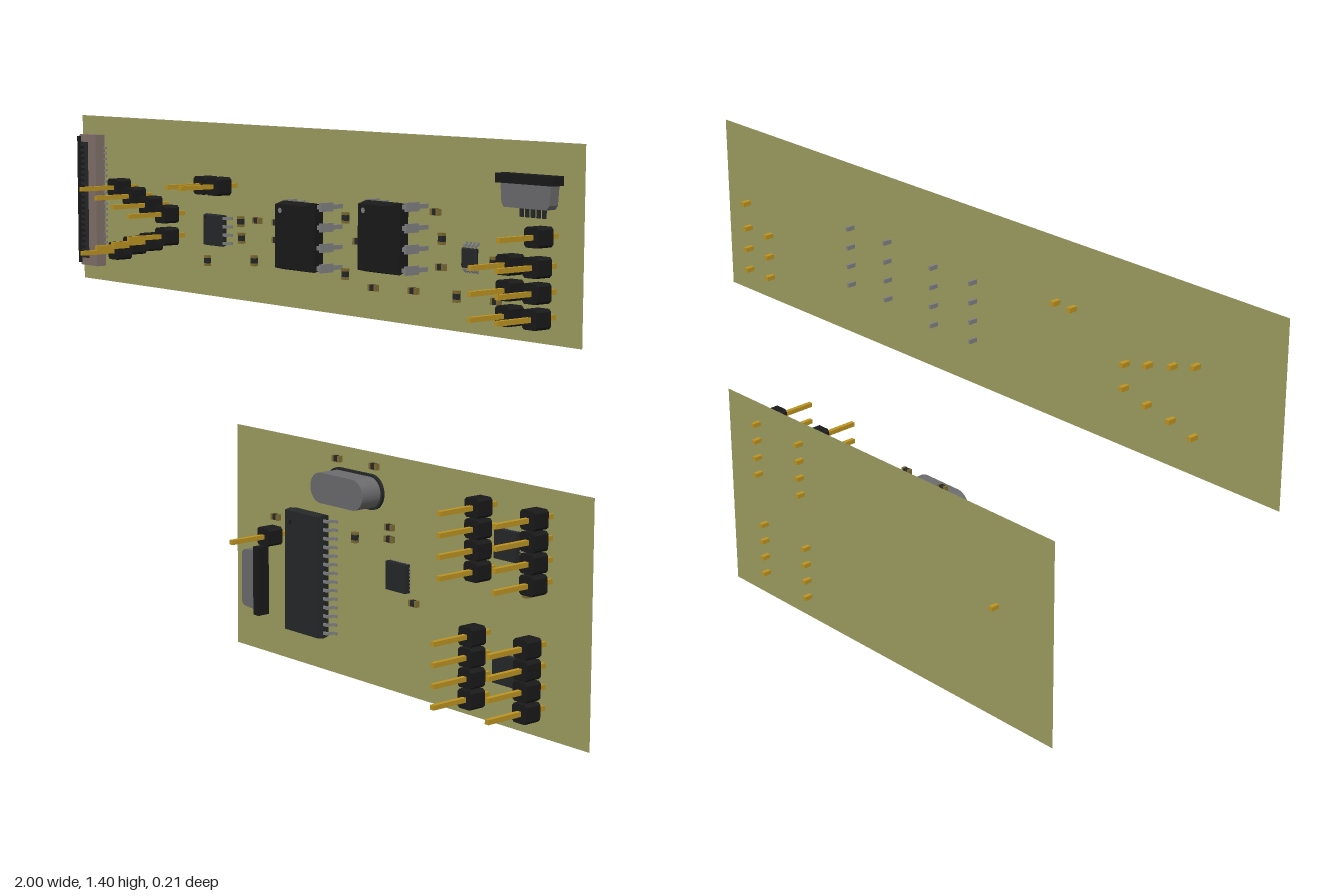
import * as THREE from 'three';

const BOARD_Z = -0.081; // board sheet
const PART_Z = -0.05; // level the parts sit on
const mat = (color, extra = {}) => {
  const m = new THREE.MeshStandardMaterial(extra);
  m.color.set(color);
  return m;
};

export function createModel() {
  const model = new THREE.Group();
  const olive = mat(0x9e9e62, { side: THREE.DoubleSide });
  const black = mat(0x1a1a1a), dark = mat(0x262728), gold = mat(0xbd9422), brass = mat(0x7d6c34);
  const steel = mat(0x6c6c6e), silver = mat(0x808080), tan = mat(0x80706a);

  const group = (name, x, y, turn = 0) => {
    const g = new THREE.Group();
    g.name = name;
    g.position.set(x, y, PART_Z);
    g.rotation.z = turn;
    model.add(g);
    return g;
  };
  const add = (parent, name, geo, material, x = 0, y = 0, z = 0) => {
    const m = new THREE.Mesh(geo, material);
    m.name = name;
    m.position.set(x, y, z);
    parent.add(m);
    return m;
  };
  // Box given by its size and the height range above the part level
  const slab = (parent, name, material, w, h, z0, z1, x = 0, y = 0) =>
    add(parent, name, new THREE.BoxGeometry(w, h, z1 - z0), material, x, y, (z0 + z1) / 2);
  const extrude = (points, depth) => new THREE.ExtrudeGeometry(
    new THREE.Shape(points.map(([a, b]) => new THREE.Vector2(a, b))), { depth, bevelEnabled: false });
  // Moulded chip body, widest at its middle
  const mouldedBody = (w, h, d, draft) => {
    const g = new THREE.BoxGeometry(w, h, d, 1, 1, 2).toNonIndexed();
    const p = g.attributes.position;
    for (let i = 0; i < p.count; i++) {
      if (Math.abs(p.getZ(i)) < d / 4) continue;
      p.setX(i, p.getX(i) - Math.sign(p.getX(i)) * draft);
      p.setY(i, p.getY(i) - Math.sign(p.getY(i)) * draft);
    }
    g.computeVertexNormals();
    return g;
  };
  // Bent lead from an (outward, height) profile
  const leadGeo = (profile, width) =>
    extrude(profile, width).rotateX(Math.PI / 2).translate(0, width / 2, 0);
  // Two mirrored rows of leads
  const leadRows = (parent, geo, count, pitch) => {
    for (const turn of [0, Math.PI])
      for (let i = 0; i < count; i++)
        add(parent, 'lead', geo, silver, 0, (i - (count - 1) / 2) * pitch).rotation.z = turn;
  };

  // Boards: thin sheets behind the parts
  const board = (name, x0, x1, y0, y1) =>
    add(model, name, new THREE.PlaneGeometry(x1 - x0, y1 - y0), olive, (x0 + x1) / 2, (y0 + y1) / 2, BOARD_Z);
  board('upperBoard', -1, 0.952, 0.935, 1.398);
  board('lowerBoard', -0.3, 1, 0, 0.6);

  // Header pins: chamfered block with a square gold post
  const a = 0.0235, c = 0.0175;
  const blockGeo = extrude([[a, -c], [a, c], [c, a], [-c, a], [-a, c], [-a, -c], [-c, -a], [c, -a]], 0.046);
  const postGeo = new THREE.BoxGeometry(0.012, 0.012, 0.21);
  const pins = [
    [-0.747, 1.21], [-0.678, 1.19], [-0.603, 1.17], [-0.53, 1.15],
    [-0.747, 1.035], [-0.678, 1.055], [-0.603, 1.07], [-0.53, 1.09],
    [-0.358, 1.237], [-0.303, 1.237], [0.865, 1.187], [-0.094, 0.337],
  ];
  for (const x of [0.775, 0.862]) for (const y of [1.118, 1.059, 1.0]) pins.push([x, y]);
  for (let i = 0; i < 4; i++) {
    const d = i * 0.0515;
    pins.push([0.682, 0.537 - d], [0.866, 0.537 - d], [0.666, 0.222 - d], [0.85, 0.229 - d]);
  }
  for (const [x, y] of pins) {
    const g = group('headerPin', x, y);
    add(g, 'pinBlock', blockGeo, black, 0, 0, 0.003);
    add(g, 'pinPost', postGeo, gold, 0, 0, -PART_Z);
  }

  // Through-hole chips
  const dipLead = leadGeo([[0.05, 0.042], [0.074, 0.042], [0.074, -0.055], [0.068, -0.055], [0.068, 0.034], [0.05, 0.034]], 0.011);
  const dipShoulder = new THREE.BoxGeometry(0.007, 0.022, 0.042);
  for (const [x, y] of [[0.052, 1.132], [0.366, 1.152]]) {
    const g = group('throughHoleChip', x, y);
    add(g, 'chipBody', mouldedBody(0.122, 0.174, 0.066, 0.007), black, 0, 0, 0.05);
    leadRows(g, dipLead, 4, 0.051);
    for (const s of [-1, 1]) for (let i = 0; i < 4; i++)
      add(g, 'leadShoulder', dipShoulder, silver, s * 0.071, (i - 1.5) * 0.051, 0.021);
    add(g, 'pinOneMark', new THREE.CircleGeometry(0.007, 12), silver, -0.035, 0.065, 0.0835);
  }

  // Surface-mount chips with gull-wing leads
  const gullChip = (name, x, y, w, h, top, span, count, pitch, width, turn = 0) => {
    const g = group(name, x, y, turn);
    add(g, 'chipBody', mouldedBody(w, h, top - 0.004, 0.003), dark, 0, 0, (top + 0.004) / 2);
    const i = w / 2 - 0.004, o = span / 2, k = (w / 2 + o) / 2, m = top / 2, t = 0.004;
    leadRows(g, leadGeo([[i, m], [k - t, m], [k, 0.001], [o, 0.001], [o, 0.001 + t],
      [k + t, 0.001 + t], [k, m + t], [i, m + t]], width), count, pitch);
    add(g, 'pinOneMark', new THREE.CircleGeometry(w * 0.05, 10), black, -w * 0.33, h * 0.4, top + 0.0005);
  };
  gullChip('smallChip', -0.332, 1.12, 0.072, 0.084, 0.03, 0.112, 4, 0.022, 0.008);
  gullChip('microcontroller', 0.052, 0.264, 0.134, 0.322, 0.042, 0.192, 14, 0.0225, 0.008);
  gullChip('tinyChip', 0.627, 1.12, 0.048, 0.048, 0.018, 0.074, 4, 0.0125, 0.005, Math.PI / 2);

  // Flat leadless chips with edge pads
  for (const [x, y] of [[0.384, 0.311], [0.763, 0.456], [0.763, 0.154]]) {
    const g = group('flatChip', x, y);
    slab(g, 'chipBody', dark, 0.072, 0.072, 0.001, 0.018);
    for (let q = 0; q < 4; q++) {
      const side = new THREE.Group();
      side.name = 'padRow';
      side.rotation.z = q * Math.PI / 2;
      g.add(side);
      for (let i = -3; i <= 3; i++) slab(side, 'pad', silver, 0.002, 0.004, 0.001, 0.005, 0.0365, i * 0.009);
    }
  }

  // Crystal can with a thin flange
  const stadium = (w, h, depth) => {
    const r = h / 2, l = w / 2 - r, s = new THREE.Shape();
    s.absarc(l, 0, r, -Math.PI / 2, Math.PI / 2).absarc(-l, 0, r, Math.PI / 2, Math.PI * 1.5);
    return new THREE.ExtrudeGeometry(s, { depth, bevelEnabled: false, curveSegments: 16 });
  };
  const crystal = group('crystal', 0.219, 0.508);
  add(crystal, 'crystalFlange', stadium(0.21, 0.09, 0.008), dark, 0, 0, 0.001);
  add(crystal, 'crystalCan', stadium(0.198, 0.078, 0.06), steel, 0, 0, 0.009);

  // Flat-cable connector with a contact row
  const cable = group('flatCableConnector', -0.896, 1.166);
  slab(cable, 'housing', tan, 0.07, 0.366, 0.002, 0.033, 0.013);
  slab(cable, 'latchBar', black, 0.018, 0.355, 0.006, 0.03, -0.036);
  slab(cable, 'slotFace', dark, 0.034, 0.325, 0.02, 0.034, -0.006);
  for (const s of [-1, 1]) slab(cable, 'latchEnd', tan, 0.016, 0.02, 0.002, 0.028, -0.026, s * 0.173);
  for (let i = 0; i < 20; i++) {
    const y = (i - 9.5) * 0.0155;
    slab(cable, 'contact', silver, 0.012, 0.006, 0.001, 0.006, 0.052, y);
    slab(cable, 'slotTooth', black, 0.02, 0.007, 0.02, 0.0355, -0.016, y);
  }

  // Socket connectors: dark flange, tapered metal shell, rear contacts
  for (const [x, y, turn] of [[0.824, 1.285, 0], [-0.17, 0.208, -Math.PI / 2]]) {
    const g = group('socket', x, y, turn);
    slab(g, 'socketFlange', black, 0.184, 0.022, 0.001, 0.036, 0, 0.03);
    add(g, 'socketShell', extrude([[-0.08, 0.02], [-0.076, -0.026], [-0.068, -0.036],
      [0.068, -0.036], [0.076, -0.026], [0.08, 0.02]], 0.028), steel, 0, 0, 0.002);
    for (let i = -2; i <= 2; i++) slab(g, 'contact', dark, 0.009, 0.024, 0.001, 0.007, i * 0.018, -0.046);
  }

  // Small passive parts: dark middle with metal ends; last entry 1 = upright
  const passives = [
    [-0.377, 1.035, 1], [-0.235, 1.148, 1], [-0.232, 1.105, 1], [-0.167, 1.155, 0], [-0.18, 1.05, 1],
    [-0.088, 1.155, 0], [-0.088, 1.11, 0], [0.18, 1.185, 1], [0.18, 1.045, 1], [0.227, 1.13, 0],
    [0.285, 1.02, 0], [0.286, 1.085, 0], [0.505, 1.22, 0], [0.527, 1.158, 1], [0.43, 1.025, 0],
    [0.525, 1.09, 0], [0.58, 1.025, 1], [0.703, 1.115, 1], [0.712, 1.025, 0], [0.152, 0.575, 0],
    [0.291, 0.575, 0], [0.35, 0.43, 0], [0.35, 0.4, 0], [0.221, 0.383, 1], [0.441, 0.254, 0],
    [-0.092, 0.385, 0], [0.812, 0.062, 1], [0.826, 0.355, 1],
  ];
  for (const [x, y, upright] of passives) {
    const g = group('passivePart', x, y, upright ? Math.PI / 2 : 0);
    slab(g, 'passiveBody', dark, 0.016, 0.015, 0.001, 0.013);
    for (const s of [-1, 1]) slab(g, 'passiveEnd', brass, 0.007, 0.016, 0.001, 0.0135, s * 0.0105);
  }

  return model;
}
